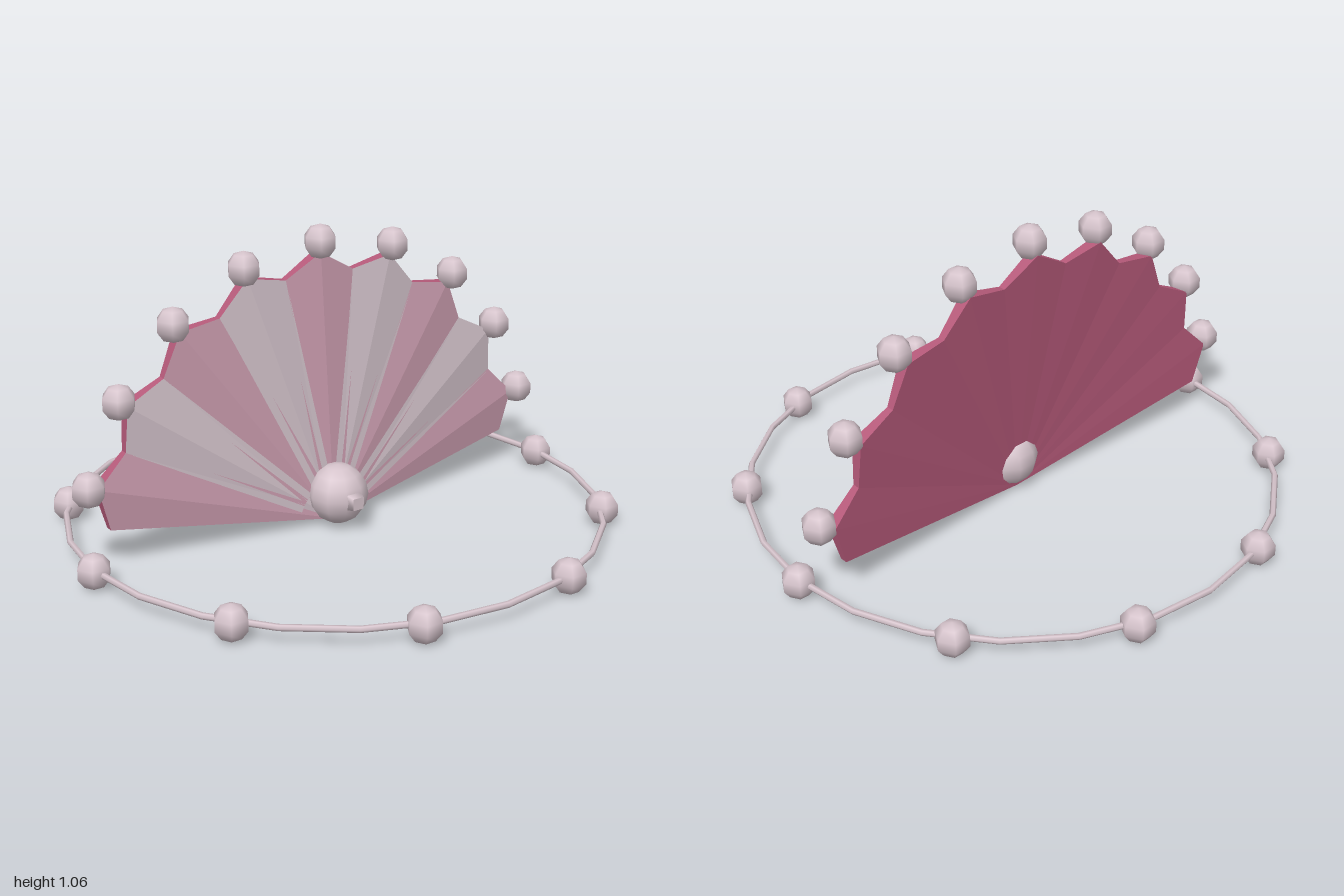
import * as THREE from 'three';

const mat = (name, color, side = THREE.FrontSide) => {
  const m = new THREE.MeshStandardMaterial({ color, side });
  m.name = name;
  return m;
};

// Unindexed triangles give crisp facets
function facets(points) {
  const g = new THREE.BufferGeometry().setFromPoints(points);
  g.computeVertexNormals();
  return g;
}

const STEP = 18, HALF_LOBES = 4.5, BASE_Y = 0.02;

// Point at an angle (degrees from vertical) and radius around the fan's foot
function polar(deg, r, z) {
  const a = THREE.MathUtils.degToRad(deg);
  return new THREE.Vector3(r * Math.sin(a), BASE_Y + r * Math.cos(a), z);
}

export function createModel() {
  const pearl = mat('pearl', 0xd6c4cc);
  const pale = mat('pale pleat', 0xd0c0c8);
  const pink = mat('pink pleat', 0xc99bad);
  const rose = mat('rose backing', 0xb65a7a);

  const model = new THREE.Group();
  model.name = 'shellFanWithRing';
  const add = (name, geometry, material, x = 0, y = 0, z = 0, parent = model) => {
    const mesh = new THREE.Mesh(geometry, material);
    mesh.name = name;
    mesh.position.set(x, y, z);
    parent.add(mesh);
    return mesh;
  };

  // Scalloped rim: valleys and tips alternate every half lobe
  const front = [], back = [];
  for (let i = 0; i <= 18; i++) {
    const deg = (i / 2 - HALF_LOBES) * STEP;
    const tip = i % 2 === 1;
    const r = (tip ? 0.947 : 0.88) - 0.04 * (deg / 78) ** 2;
    front.push(polar(deg, r, tip ? -0.08 : -0.088));
    back.push(polar(deg, r, tip ? -0.125 : -0.115));
  }
  const footFront = new THREE.Vector3(0, BASE_Y, 0);
  const footBack = new THREE.Vector3(0, BASE_Y, -0.03);

  // Front pleats in alternating colours
  const pleats = { pale: [], pink: [] };
  for (let i = 0; i < 18; i++) {
    const lobe = Math.floor(i / 2);
    pleats[lobe % 2 ? 'pale' : 'pink'].push(footFront, front[i + 1], front[i]);
  }
  add('palePleats', facets(pleats.pale), pale);
  add('pinkPleats', facets(pleats.pink), pink);

  // Backing with rim and the two lower edges
  const shell = [];
  for (let i = 0; i < 18; i++) {
    shell.push(footBack, back[i], back[i + 1]);
    shell.push(front[i], front[i + 1], back[i + 1], front[i], back[i + 1], back[i]);
  }
  shell.push(footFront, back[18], front[18], footFront, footBack, back[18]);
  shell.push(footFront, front[0], back[0], footFront, back[0], footBack);
  add('fanBacking', facets(shell), rose);

  // Thin tapering streaks along the folds
  const surfaceZ = (r) => -0.1 * r + 0.004;
  function streak(list, tipDeg, tipR, baseDeg, baseR, halfWidth) {
    const spread = THREE.MathUtils.radToDeg(halfWidth / baseR);
    list.push(
      polar(tipDeg, tipR, surfaceZ(tipR)),
      polar(baseDeg - spread, baseR, surfaceZ(baseR)),
      polar(baseDeg + spread, baseR, surfaceZ(baseR)));
  }
  const ribs = [], creases = [];
  for (let i = 1; i < 9; i++) {
    const deg = (i - HALF_LOBES) * STEP;
    const toPale = i % 2 ? 1 : -1;
    streak(ribs, deg, 0.84, deg, 0.14, 0.015);
    streak(creases, deg + 2.5 * toPale, 0.53, deg + 7 * toPale, 0.14, 0.008);
  }
  add('foldRibs', facets(ribs), pale);
  add('foldCreases', facets(creases), pink);

  // Pearls on the scallop tips
  const pearlGeometry = new THREE.SphereGeometry(0.061, 6, 5);
  const crown = new THREE.Group();
  crown.name = 'crownPearls';
  model.add(crown);
  for (let k = -4; k <= 4; k++) {
    const p = polar(k * STEP, 0.985 - 0.038 * (k / 4) ** 2, -0.085);
    add('crownPearl', pearlGeometry, pearl, p.x, p.y, p.z, crown);
  }

  // Large central pearl with a small stud
  add('hub', new THREE.SphereGeometry(0.107, 10, 8), pearl, 0, 0.125, 0.02);
  const stud = new THREE.CylinderGeometry(0.03, 0.044, 0.05, 4, 1);
  stud.rotateY(Math.PI / 4).rotateX(Math.PI / 2);
  add('stud', stud, pearl, 0, 0.125, 0.121);

  // Horizontal ring strung with pearls
  const ring = new THREE.TorusGeometry(0.934, 0.011, 6, 24);
  ring.rotateX(Math.PI / 2);
  add('ring', ring, pearl, 0, 0.07, 0);
  const beads = new THREE.Group();
  beads.name = 'ringPearls';
  model.add(beads);
  for (let i = 0; i < 10; i++) {
    const a = (i * Math.PI) / 5;
    add('ringPearl', pearlGeometry, pearl, 0.937 * Math.cos(a), 0.07, 0.937 * Math.sin(a), beads);
  }
  return model;
}
